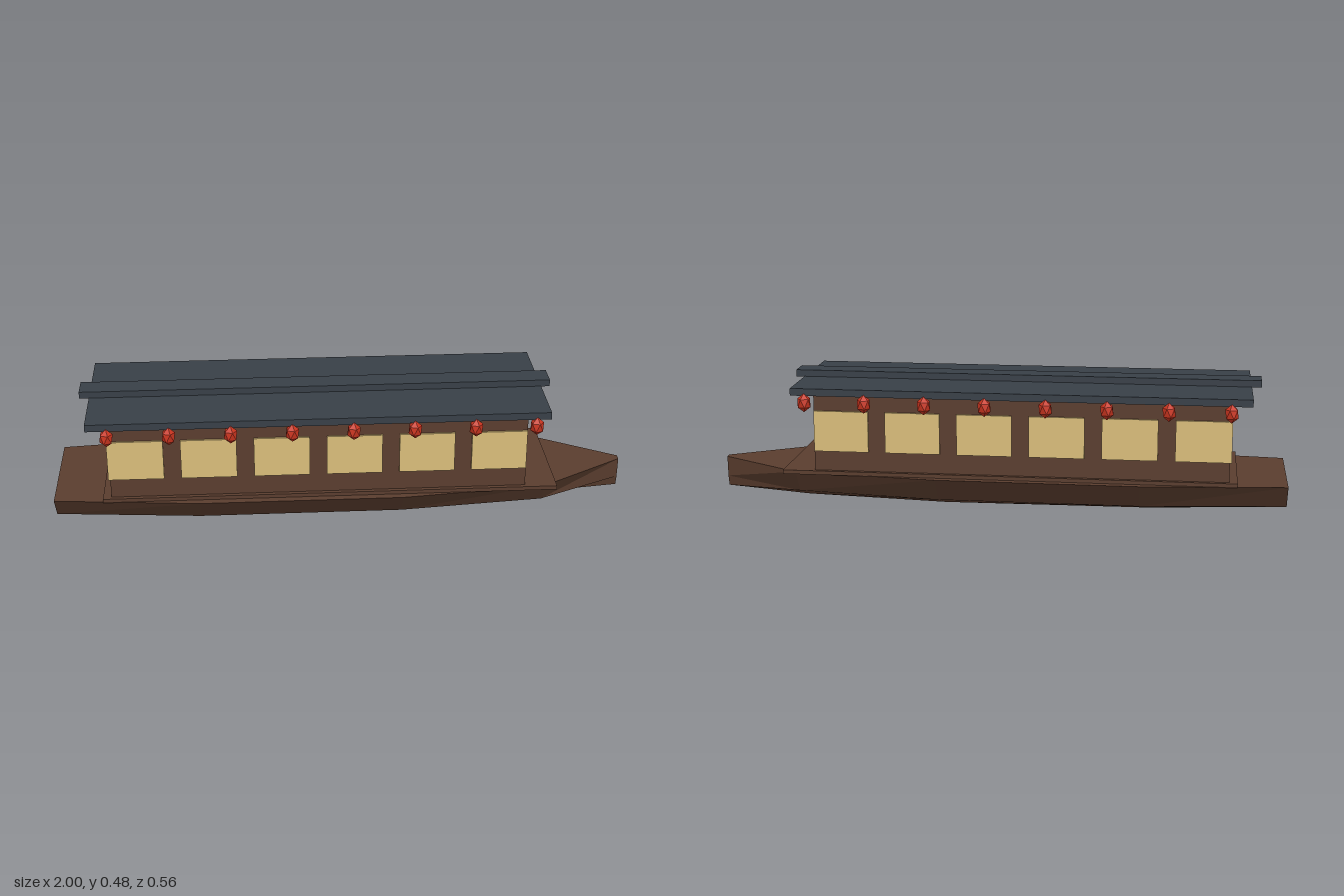
import * as THREE from 'three';

const mat = (name, color) => {
  const m = new THREE.MeshStandardMaterial({ color });
  m.name = name;
  return m;
};

// Hull lofted from V-shaped stations: x, keel y, chine y, chine half width, deck half width
function hullGeometry() {
  const top = 0.148;
  const stations = [
    [-1.0, 0.022, 0.064, 0.145, 0.207],
    [-0.5, 0.004, 0.058, 0.18, 0.256],
    [0.2, 0.0, 0.058, 0.18, 0.256],
    [0.7, 0.015, 0.065, 0.142, 0.2],
    [1.0, 0.038, 0.075, 0.009, 0.013],
  ];
  const rings = stations.map(([x, keel, chine, cw, dw]) => [
    [x, top, dw], [x, chine, cw], [x, keel, 0], [x, chine, -cw], [x, top, -dw],
  ]);
  const pos = [];
  const tri = (a, b, c) => pos.push(...a, ...b, ...c);
  for (let i = 0; i < rings.length - 1; i++) {
    const a = rings[i], b = rings[i + 1];
    for (let j = 0; j < 5; j++) {
      const k = (j + 1) % 5;
      tri(a[j], a[k], b[j]);
      tri(a[k], b[k], b[j]);
    }
  }
  // transom and narrow stem face
  const s = rings[0], f = rings[rings.length - 1];
  for (let j = 1; j < 4; j++) {
    tri(s[0], s[j + 1], s[j]);
    tri(f[0], f[j], f[j + 1]);
  }
  const g = new THREE.BufferGeometry();
  g.setAttribute('position', new THREE.Float32BufferAttribute(pos, 3));
  g.computeVertexNormals();
  return g;
}

export function createModel() {
  const boat = new THREE.Group();
  boat.name = 'houseboat';
  const wood = mat('brown wood', 0x5a3d2e);
  const slate = mat('slate roof', 0x383f47);
  const paper = mat('paper screen', 0xd8bc7a);
  const red = mat('lantern red', 0xc8341f);

  const add = (name, geometry, material) => {
    const mesh = new THREE.Mesh(geometry, material);
    mesh.name = name;
    boat.add(mesh);
    return mesh;
  };
  // Box given by its x and y ranges and its half depth in z
  const box = (name, x0, x1, y0, y1, hz, material) =>
    add(name, new THREE.BoxGeometry(x1 - x0, y1 - y0, hz * 2), material)
      .position.set((x0 + x1) / 2, (y0 + y1) / 2, 0);

  add('hull', hullGeometry(), wood);
  box('deck', -0.83, 0.737, 0.147, 0.161, 0.229, wood);
  box('cabin', -0.802, 0.626, 0.161, 0.43, 0.214, wood);
  box('roof', -0.872, 0.697, 0.432, 0.457, 0.258, slate);
  box('roofRidge', -0.905, 0.727, 0.456, 0.48, 0.042, slate);

  // Lantern: an icosahedron standing on one corner, stretched upward
  const lantern = new THREE.IcosahedronGeometry(0.0253, 0);
  lantern.rotateZ(-Math.atan(2 / (1 + Math.sqrt(5))));
  lantern.scale(1, 1.28, 1);
  lantern.computeVertexNormals();
  const screen = new THREE.BoxGeometry(0.19, 0.142, 0.008);

  for (const side of [1, -1]) {
    for (let i = 0; i < 6; i++)
      add('windowScreen', screen, paper).position.set(-0.713 + i * 0.2486, 0.301, side * 0.2175);
    for (let i = 0; i < 8; i++)
      add('lantern', lantern, red).position.set(-0.802 + i * 0.2072, 0.408, side * 0.258);
  }
  return boat;
}
